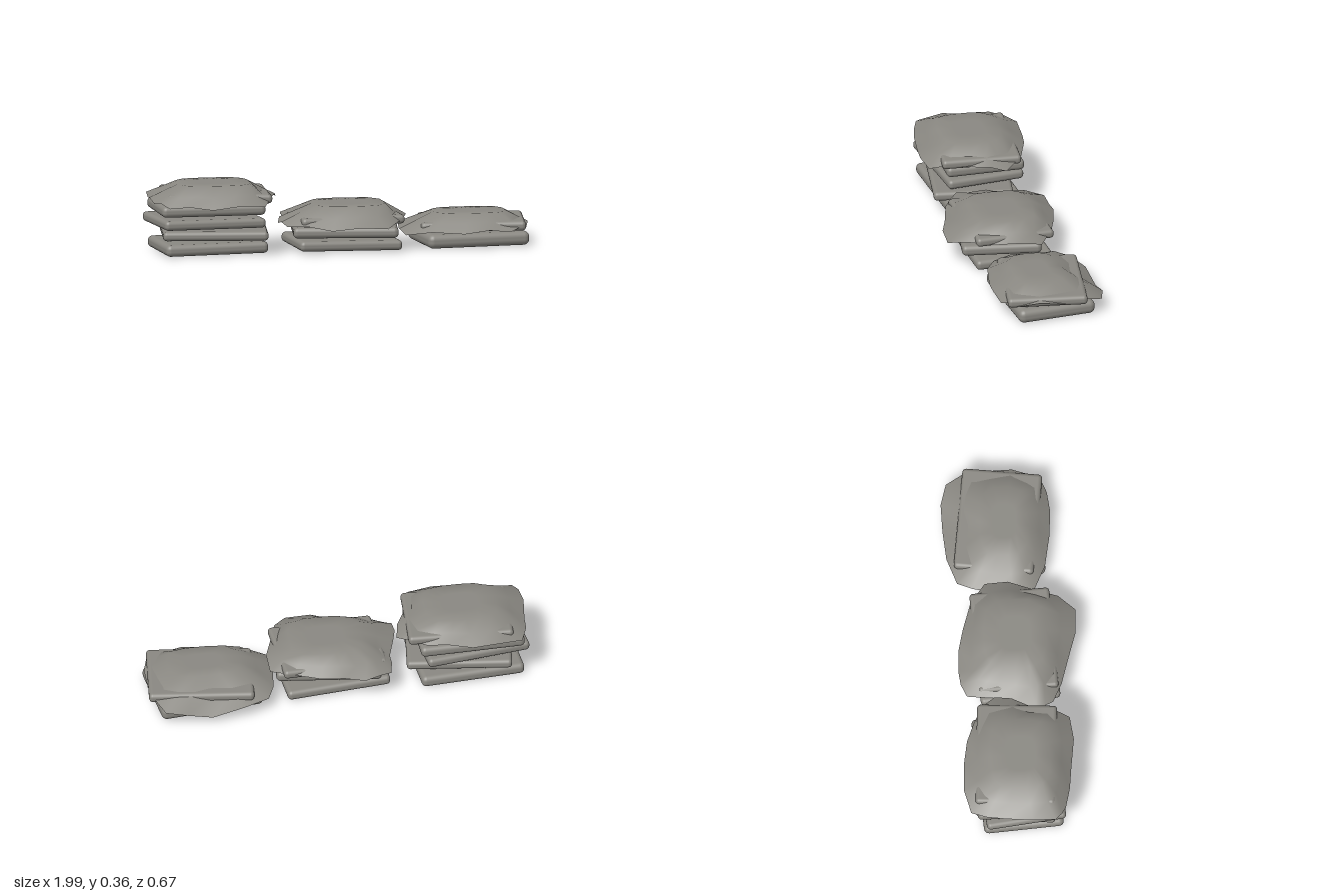
import * as THREE from 'three';
import { RoundedBoxGeometry } from 'three/addons/geometries/RoundedBoxGeometry.js';

const sackGrey = new THREE.MeshStandardMaterial({ color: 0x8a8882, side: THREE.DoubleSide });
sackGrey.name = 'sackGrey';

// Hem of a sheet: a closed curve through its low tips, lifted between them
function hemPoints(tips) {
  const curve = new THREE.CatmullRomCurve3(tips.map(([x, z, y]) => new THREE.Vector3(x, y, z)), true);
  const count = tips.length * 2;
  return Array.from({ length: count }, (_, i) => {
    const p = curve.getPoint(i / count);
    if (i % 2) p.y += 0.016;
    return p;
  });
}

// Draped sheet: a flat middle joined by rings to the ragged hem
function sheetGeometry([cx, cz, hx, hz, topY], tips) {
  const hem = hemPoints(tips);
  const n = hem.length, rings = 4;
  const pos = [cx, topY, cz], index = [];
  for (let r = 1; r <= rings; r++) {
    for (const p of hem) {
      const dx = p.x - cx, dz = p.z - cz;
      // rounded-square edge of the flat middle
      const s = (Math.abs(dx / hx) ** 3.5 + Math.abs(dz / hz) ** 3.5) ** (-1 / 3.5);
      const t = Math.max(0, (r - 2) / (rings - 2));
      const k = r === 1 ? s * 0.5 : s + (1 - s) * t;
      pos.push(cx + dx * k, topY + (p.y - topY) * t, cz + dz * k);
    }
  }
  for (let i = 0; i < n; i++) {
    const j = (i + 1) % n;
    index.push(0, 1 + j, 1 + i);
    for (let r = 0; r < rings - 1; r++) {
      const a = 1 + r * n + i, b = 1 + r * n + j;
      index.push(a, b, b + n, a, b + n, a + n);
    }
  }
  const g = new THREE.BufferGeometry();
  g.setAttribute('position', new THREE.Float32BufferAttribute(pos, 3));
  g.setIndex(index);
  g.computeVertexNormals();
  return g;
}

// sacks: [x, y, z, height, turn, tilt]
// top: [centre x, centre z, half width, half depth, height] of the flat middle
// tips: [x, z, y], from the back left corner clockwise from above
function buildStack(name, sacks, top, tips) {
  const stack = new THREE.Group();
  stack.name = name;
  sacks.forEach(([x, y, z, h, turn, tilt], i) => {
    const sack = new THREE.Mesh(new RoundedBoxGeometry(0.54, h, 0.41, 3, h * 0.42), sackGrey);
    sack.name = `sack${i + 1}`;
    sack.position.set(x, y, z);
    sack.rotation.set(0, turn, tilt);
    stack.add(sack);
  });
  const sheet = new THREE.Mesh(sheetGeometry(top, tips), sackGrey);
  sheet.name = 'coverSheet';
  stack.add(sheet);
  return stack;
}

export function createModel() {
  const model = new THREE.Group();
  model.name = 'sackStacks';

  model.add(buildStack('tallStack', [
    [-0.68, 0.04, 0.01, 0.06, 0.08, 0.005],
    [-0.65, 0.108, 0.02, 0.048, -0.13, 0],
    [-0.70, 0.168, 0.01, 0.05, 0.13, -0.01],
    [-0.685, 0.235, -0.01, 0.056, 0.03, 0],
    [-0.64, 0.297, 0, 0.048, -0.05, -0.01],
  ], [-0.655, 0.02, 0.185, 0.155, 0.363], [
    [-0.94, -0.24, 0.275], [-0.68, -0.27, 0.28], [-0.45, -0.21, 0.28], [-0.31, -0.1, 0.265],
    [-0.37, 0.08, 0.28], [-0.43, 0.28, 0.265], [-0.7, 0.28, 0.252], [-0.92, 0.245, 0.26],
    [-0.99, 0.19, 0.28], [-0.98, -0.06, 0.28],
  ]));

  model.add(buildStack('middleStack', [
    [0.015, 0.04, 0.015, 0.052, 0.08, -0.02],
    [0.025, 0.11, 0.03, 0.056, -0.13, 0],
    [0.03, 0.167, 0.01, 0.046, 0.06, 0.01],
  ], [0.045, 0.015, 0.185, 0.16, 0.24], [
    [-0.26, -0.24, 0.15], [-0.12, -0.28, 0.145], [0.1, -0.25, 0.16], [0.35, -0.13, 0.15],
    [0.31, 0.12, 0.155], [0.2, 0.33, 0.14], [-0.08, 0.28, 0.128], [-0.3, 0.2, 0.145],
    [-0.335, 0.11, 0.155], [-0.275, -0.1, 0.155],
  ]));

  model.add(buildStack('lowStack', [
    [0.685, 0.044, -0.045, 0.072, 0.11, 0],
    [0.7, 0.113, -0.05, 0.05, -0.12, 0.01],
  ], [0.68, -0.02, 0.185, 0.125, 0.178], [
    [0.38, -0.27, 0.085], [0.68, -0.335, 0.048], [0.92, -0.31, 0.085], [0.98, -0.1, 0.105],
    [0.95, 0.14, 0.1], [0.86, 0.205, 0.09], [0.62, 0.21, 0.085], [0.33, 0.12, 0.075],
    [0.33, -0.1, 0.085],
  ]));

  return model;
}
